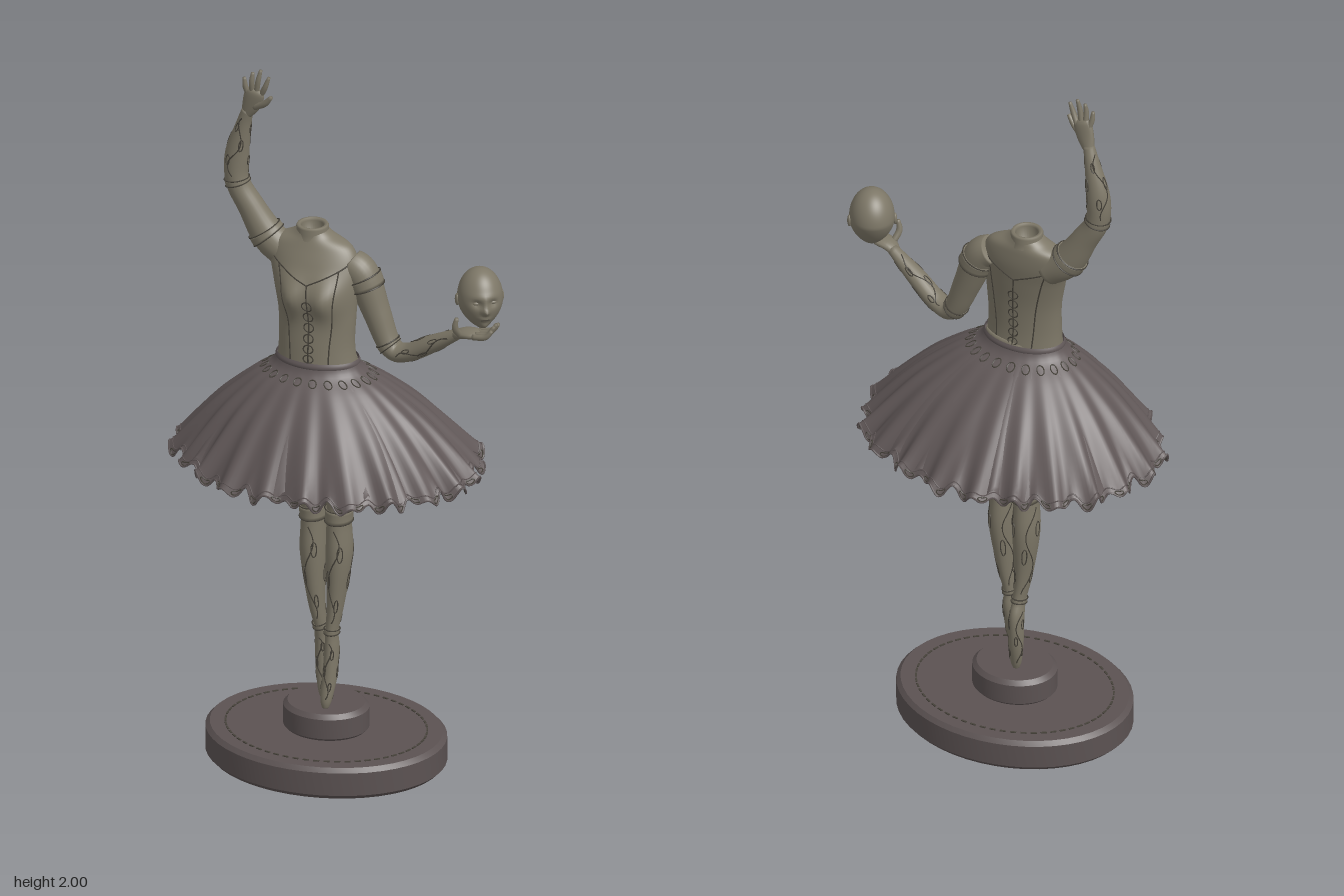
import * as THREE from 'three';
import { toCreasedNormals } from 'three/addons/utils/BufferGeometryUtils.js';

const V = (x, y, z) => new THREE.Vector3(x, y, z);
const TAU = Math.PI * 2, FRONT = Math.PI / 2, BACK = -Math.PI / 2;
const gauss = (a, b, wa, wb) => Math.exp(-((a / wa) ** 2) - (b / wb) ** 2);
const material = (name, color, side = THREE.FrontSide) => {
  const m = new THREE.MeshStandardMaterial({ color, side });
  m.name = name;
  return m;
};

export function createModel() {
  const skin = material('clay', 0x7d7767);
  const cloth = material('tutu grey', 0x615858, THREE.DoubleSide);
  const stand = material('stand grey', 0x5b5252);
  const dark = material('seam dark', 0x46423a);
  const model = new THREE.Group();

  function add(name, geometry, mat, parent = model) {
    const mesh = new THREE.Mesh(geometry, mat);
    mesh.name = name;
    parent.add(mesh);
    return mesh;
  }

  // Surface grid from f(t, angle); angle runs from +x towards +z
  function grid(f, rows, segs, caps = false) {
    const pos = [], idx = [];
    for (let i = 0; i <= rows; i++)
      for (let j = 0; j < segs; j++) pos.push(...f(i / rows, (j / segs) * TAU).toArray());
    for (let i = 0; i < rows; i++)
      for (let j = 0; j < segs; j++) {
        const a = i * segs + j, b = i * segs + ((j + 1) % segs);
        idx.push(a, a + segs, b, b, a + segs, b + segs);
      }
    if (caps) [0, 1].forEach((end) => {
      const c = f(end, 0).add(f(end, Math.PI)).multiplyScalar(0.5), k = pos.length / 3;
      pos.push(...c.toArray());
      for (let j = 0; j < segs; j++) {
        const a = end * rows * segs + j, b = end * rows * segs + ((j + 1) % segs);
        end ? idx.push(a, k, b) : idx.push(a, b, k);
      }
    });
    const g = new THREE.BufferGeometry();
    g.setAttribute('position', new THREE.Float32BufferAttribute(pos, 3));
    g.setIndex(idx);
    g.computeVertexNormals();
    return g;
  }

  // Smooth skin through sections [x, y, z, side radius, depth radius]
  function section(list, level = false) {
    const path = new THREE.CatmullRomCurve3(list.map((s) => V(s[0], s[1], s[2])), false, 'catmullrom');
    const size = new THREE.CatmullRomCurve3(list.map((s) => V(s[3], s[4], 0)), false, 'catmullrom');
    return (t, a, off = 0) => {
      const d = level ? V(0, 1, 0) : path.getTangent(t);
      const u = V(0, 0, 1).addScaledVector(d, -d.z).normalize(), v = d.clone().cross(u), r = size.getPoint(t);
      return path.getPoint(t).addScaledVector(v, (r.x + off) * Math.cos(a)).addScaledVector(u, (r.y + off) * Math.sin(a));
    };
  }
  function limb(name, list, rows = 30, segs = 24) {
    const f = section(list);
    add(name, grid(f, rows, segs, true), skin);
    return f;
  }

  // Engraved-looking line that follows a surface
  function seam(name, f, points, closed = false, r = 0.0022, mat = dark) {
    const c = new THREE.CatmullRomCurve3(points.map(([t, a]) => f(t, a)), closed);
    add(name, new THREE.TubeGeometry(c, points.length * 3, r, 4, closed), mat);
  }
  const loop = (t, a, dt, da, n = 8) =>
    Array.from({ length: n }, (_, i) => [t + dt * Math.cos((i / n) * TAU), a + da * Math.sin((i / n) * TAU)]);
  const line = (t0, t1, fn, n = 14) =>
    Array.from({ length: n + 1 }, (_, i) => [t0 + ((t1 - t0) * i) / n, fn(i / n)]);
  function vines(name, f, t0, t1) {
    for (let k = 0; k < 3; k++) {
      const a = FRONT + (k * TAU) / 3;
      seam(name + 'Vine', f, line(t0, t1, (s) => a + 0.45 * Math.sin(s * 9 + k)), false, 0.0018);
      for (let i = 1; i < 4; i++)
        seam(name + 'Leaf', f, loop(t0 + ((t1 - t0) * i) / 4, a + (i % 2 ? 0.5 : -0.5), (t1 - t0) * 0.08, 0.2), true, 0.0016);
    }
  }
  function cuff(name, f, t0, t1, off = 0.004) {
    const shape = (t, a) => f(t0 + (t1 - t0) * t, a, off);
    add(name, grid(shape, 4, 24, true), skin);
    [0, 1].forEach((e) => seam(name + 'Edge', shape, Array.from({ length: 16 }, (_, i) => [e, (i / 16) * TAU]), true, 0.002));
  }

  // Oval stand with a small pedestal
  function disc(name, r, y0, y1, bevel, depth) {
    const p = [[0, y0], [r - bevel, y0], [r, y0 + bevel], [r, y1 - bevel], [r - bevel, y1], [0, y1]];
    const g = new THREE.LatheGeometry(p.map(([x, y]) => new THREE.Vector2(x, y)), 48);
    g.scale(1, 1, depth);
    add(name, toCreasedNormals(g, 0.6), stand).position.x = -0.042;
  }
  disc('standBase', 0.33, 0, 0.09, 0.012, 0.82);
  disc('pedestal', 0.117, 0.085, 0.165, 0.012, 0.88);
  for (let i = 0; i < 60; i++) {
    const a = (i / 60) * TAU;
    const s = add('standStitch', new THREE.BoxGeometry(0.016, 0.003, 0.005), dark);
    s.position.set(-0.042 + 0.275 * Math.cos(a), 0.091, 0.225 * Math.sin(a));
    s.rotation.y = Math.atan2(-0.225 * Math.cos(a), -0.275 * Math.sin(a));
  }

  // Legs on pointe, the left one in front
  const legRows = [
    [0, 1.12, 0, 0.055, 0.062], [0.003, 0.98, 0, 0.051, 0.062], [0.003, 0.85, -0.003, 0.045, 0.055],
    [-0.005, 0.72, -0.003, 0.033, 0.042], [-0.004, 0.6, -0.003, 0.035, 0.046], [-0.012, 0.46, 0, 0.023, 0.031],
    [-0.02, 0.38, 0, 0.017, 0.023], [-0.02, 0.33, 0, 0.019, 0.026], [-0.022, 0.25, 0, 0.02, 0.021],
    [-0.026, 0.19, 0, 0.016, 0.015], [-0.027, 0.164, 0, 0.009, 0.009]];
  const footZ = { left: [0, 0, 0, 0.003, 0.005, 0.008, 0.015, 0.015, 0.027, 0.042, 0.045],
    right: [0, 0, 0, -0.003, -0.005, -0.008, -0.018, -0.032, -0.032, -0.025, -0.022] };
  for (const side of ['left', 'right']) {
    const f = limb(side + 'Leg', legRows.map(([x, y, z, a, b], i) =>
      [side === 'left' ? x : -0.086 - x, y, z + footZ[side][i], a, b]), 50);
    cuff(side + 'KneeBand', f, 0.285, 0.315);
    cuff(side + 'AnkleBand', f, 0.59, 0.61, 0.003);
    vines(side + 'Calf', f, 0.33, 0.56);
    vines(side + 'Foot', f, 0.66, 0.9);
  }
  limb('pelvis', [[-0.043, 0.98, 0, 0.05, 0.05], [-0.043, 1.02, 0, 0.1, 0.075], [-0.045, 1.1, 0.01, 0.112, 0.078], [-0.05, 1.19, 0.03, 0.105, 0.068]]);

  // Bodice
  const body = section([
    [-0.053, 1.17, 0.033, 0.112, 0.072], [-0.056, 1.24, 0.032, 0.106, 0.066], [-0.057, 1.32, 0.026, 0.109, 0.063],
    [-0.064, 1.4, 0.018, 0.119, 0.066], [-0.074, 1.46, 0.003, 0.125, 0.06], [-0.084, 1.505, -0.007, 0.112, 0.05],
    [-0.085, 1.53, -0.01, 0.062, 0.043], [-0.085, 1.545, -0.01, 0.04, 0.04]], true);
  const torso = (t, a) => {
    const p = body(t, a), s = Math.max(0, Math.sin(a));
    for (const x of [-0.115, -0.012]) p.z += 0.03 * s * gauss(p.x - x, p.y - 1.375, 0.04, 0.05);
    return p;
  };
  add('torso', grid(torso, 50, 56), skin);
  for (const mid of [FRONT, BACK]) {
    for (const s of [-1, 1]) {
      seam('bodiceSeam', torso, line(0.02, 0.56, (q) => mid + s * (0.5 + 0.25 * q)));
      seam('necklineSeam', torso, line(0.46, 0.6, (q) => mid + s * q * 1.1));
    }
    seam('centreSeam', torso, line(0.02, 0.46, () => mid));
    for (let i = 0; i < 6; i++) seam('lacing', torso, loop(0.08 + i * 0.055, mid, 0.022, 0.13), true, 0.0018);
  }
  // Hollow neck
  const neck = [[0, 1.5], [0.029, 1.5], [0.03, 1.55], [0.034, 1.556], [0.041, 1.556], [0.044, 1.551], [0.043, 1.535], [0.047, 1.52]];
  const neckGeo = new THREE.LatheGeometry(neck.map(([x, y]) => new THREE.Vector2(x, y)).reverse(), 32);
  add('neck', neckGeo, material('neck clay', 0x7d7767, THREE.DoubleSide)).position.set(-0.085, 0, -0.01);

  // Pleated tutu: two layers, a waistband and loops
  const profile = new THREE.SplineCurve([[0, 1.195], [0.06, 1.165], [0.26, 1.125], [0.55, 1.05], [0.8, 0.965], [1, 0.885]]
    .map(([x, y]) => new THREE.Vector2(x, y)));
  const skirt = (scale, lift, phase) => (t, a) => {
    const p = profile.getPoint(t), k = p.x;
    const fold = Math.cos(22 * a + phase + 0.7 * Math.sin(3 * a));
    const r = 1 + k * (0.034 * fold + 0.014 * Math.sin(7 * a + phase));
    const rx = (0.114 + 0.305 * k * scale) * r, rz = (0.075 + 0.252 * k * scale) * r;
    const hem = t ** 8 * (0.012 * Math.cos(44 * a) + 0.008 * Math.sin(31 * a + phase));
    return V(-0.053 + 0.018 * k + rx * Math.cos(a), p.y + lift * k + hem, 0.033 - 0.033 * k + rz * Math.sin(a));
  };
  const outer = skirt(1, 0, 0);
  // Rows run upward so the outside faces out
  add('tutu', grid((t, a) => outer(1 - t, a), 26, 264), cloth);
  const under = skirt(0.91, 0.012, 1.6);
  add('tutuUnderLayer', grid((t, a) => under(1 - t, a), 20, 220), cloth);
  const round = (t, n) => Array.from({ length: n }, (_, i) => [t, (i / n) * TAU]);
  seam('hemTrim', outer, round(1, 220), true, 0.003, cloth);
  seam('hemLace', outer, round(0.95, 220), true, 0.002, cloth);
  for (let i = 0; i < 44; i++) seam('hemLoop', outer, loop(0.975, ((i + 0.5) / 44) * TAU, 0.014, 0.03, 6), true, 0.002);
  for (let i = 0; i < 22; i++) seam('waistLoop', outer, loop(0.27, (i / 22) * TAU, 0.045, 0.07), true, 0.002);
  add('waistband', grid((t, a) => V(-0.053 + (0.114 + 0.004 * Math.sin(t * Math.PI)) * Math.cos(a), 1.178 + 0.022 * t,
    0.033 + (0.076 + 0.004 * Math.sin(t * Math.PI)) * Math.sin(a)), 6, 56), cloth);

  // Raised right arm
  const raised = limb('rightArm', [
    [-0.15, 1.455, -0.006, 0.046, 0.044], [-0.208, 1.5, -0.006, 0.046, 0.043], [-0.258, 1.58, -0.003, 0.036, 0.036],
    [-0.296, 1.65, 0, 0.032, 0.033], [-0.297, 1.73, 0, 0.033, 0.03], [-0.277, 1.82, 0.005, 0.021, 0.021], [-0.262, 1.87, 0.012, 0.016, 0.014]], 44);
  cuff('rightShoulderBand', raised, 0.17, 0.21);
  cuff('rightElbowBand', raised, 0.49, 0.52, 0.002);
  vines('rightForearm', raised, 0.55, 0.92);
  limb('rightPalm', [[-0.266, 1.855, 0.01, 0.015, 0.014], [-0.25, 1.89, 0.017, 0.026, 0.013],
    [-0.238, 1.925, 0.022, 0.028, 0.012], [-0.234, 1.938, 0.023, 0.018, 0.007]], 12, 16);
  const finger = (name, a, b, c, r = 0.0075) => limb(name, [[...a, r, r], [...b, r, r], [...c, r * 0.6, r * 0.6]], 10, 10);
  finger('rightLittleFinger', [-0.258, 1.92, 0.02], [-0.264, 1.945, 0.026], [-0.266, 1.97, 0.028]);
  finger('rightRingFinger', [-0.246, 1.925, 0.022], [-0.245, 1.96, 0.028], [-0.242, 1.988, 0.027]);
  finger('rightMiddleFinger', [-0.234, 1.925, 0.022], [-0.227, 1.965, 0.026], [-0.22, 1.997, 0.024]);
  finger('rightIndexFinger', [-0.222, 1.92, 0.02], [-0.207, 1.95, 0.026], [-0.196, 1.98, 0.026]);
  finger('rightThumb', [-0.238, 1.885, 0.022], [-0.206, 1.905, 0.034], [-0.184, 1.93, 0.04], 0.009);

  // Lowered left arm, bent forward to hold the head
  const lowered = limb('leftArm', [
    [0.02, 1.46, -0.008, 0.042, 0.042], [0.058, 1.43, -0.008, 0.046, 0.045], [0.098, 1.33, -0.008, 0.038, 0.038],
    [0.14, 1.235, -0.005, 0.03, 0.033], [0.19, 1.228, 0.003, 0.025, 0.031], [0.27, 1.275, 0.02, 0.024, 0.027], [0.355, 1.328, 0.038, 0.014, 0.017]], 50);
  cuff('leftShoulderBand', lowered, 0.18, 0.23);
  cuff('leftElbowBand', lowered, 0.47, 0.5, 0.002);
  vines('leftForearm', lowered, 0.62, 0.95);
  limb('leftPalm', [[0.345, 1.322, 0.037, 0.014, 0.017], [0.37, 1.335, 0.045, 0.013, 0.027],
    [0.4, 1.34, 0.05, 0.012, 0.029], [0.418, 1.343, 0.052, 0.007, 0.02]], 12, 16);
  for (let i = 0; i < 4; i++) {
    const z = 0.027 + i * 0.017;
    finger('leftFinger', [0.408, 1.342, z], [0.445, 1.35, z + 0.005], [0.464, 1.38 - Math.abs(i - 1.5) * 0.006, z + 0.004], 0.008);
  }
  finger('leftThumb', [0.365, 1.335, 0.062], [0.358, 1.362, 0.08], [0.363, 1.392, 0.082], 0.009);

  // Held head, turned to its left
  const head = new THREE.Group();
  head.name = 'head';
  head.position.set(0.402, 1.433, 0.01);
  head.rotation.y = 0.6;
  model.add(head);
  const skull = new THREE.SphereGeometry(1, 56, 44), q = skull.attributes.position;
  for (let i = 0; i < q.count; i++) {
    const p = V().fromBufferAttribute(q, i), { x, y, z } = p, low = Math.max(0, -y);
    p.set(x * 0.061 * (1 - 0.25 * low * low), y * 0.083, z * 0.07);
    if (z < 0) p.z *= 1 - 0.4 * low;
    else {
      p.z += 0.016 * gauss(x, y + 0.2, 0.13, 0.12) + 0.008 * gauss(x, y, 0.1, 0.2) + 0.004 * gauss(x, y - 0.28, 0.6, 0.12);
      p.z += 0.006 * gauss(x, y + 0.5, 0.24, 0.07) + 0.014 * gauss(x, y + 0.85, 0.3, 0.2);
      p.z -= 0.009 * (gauss(x - 0.36, y - 0.06, 0.19, 0.12) + gauss(x + 0.36, y - 0.06, 0.19, 0.12));
    }
    q.setXYZ(i, p.x, p.y, p.z);
  }
  skull.computeVertexNormals();
  add('skull', skull, skin, head);
  for (const s of [-1, 1]) {
    const ear = add('ear', new THREE.SphereGeometry(0.015, 14, 10), skin, head);
    ear.scale.set(0.4, 1.15, 0.75);
    ear.position.set(s * 0.061, -0.006, -0.008);
    const eye = add('eyelid', new THREE.SphereGeometry(0.009, 14, 10), skin, head);
    eye.scale.set(1.15, 0.6, 0.6);
    eye.position.set(s * 0.022, 0.005, 0.055);
  }
  const lips = add('mouthLine', new THREE.BoxGeometry(0.022, 0.0018, 0.003), dark, head);
  lips.position.set(0, -0.0415, 0.0665);
  return model;
}
